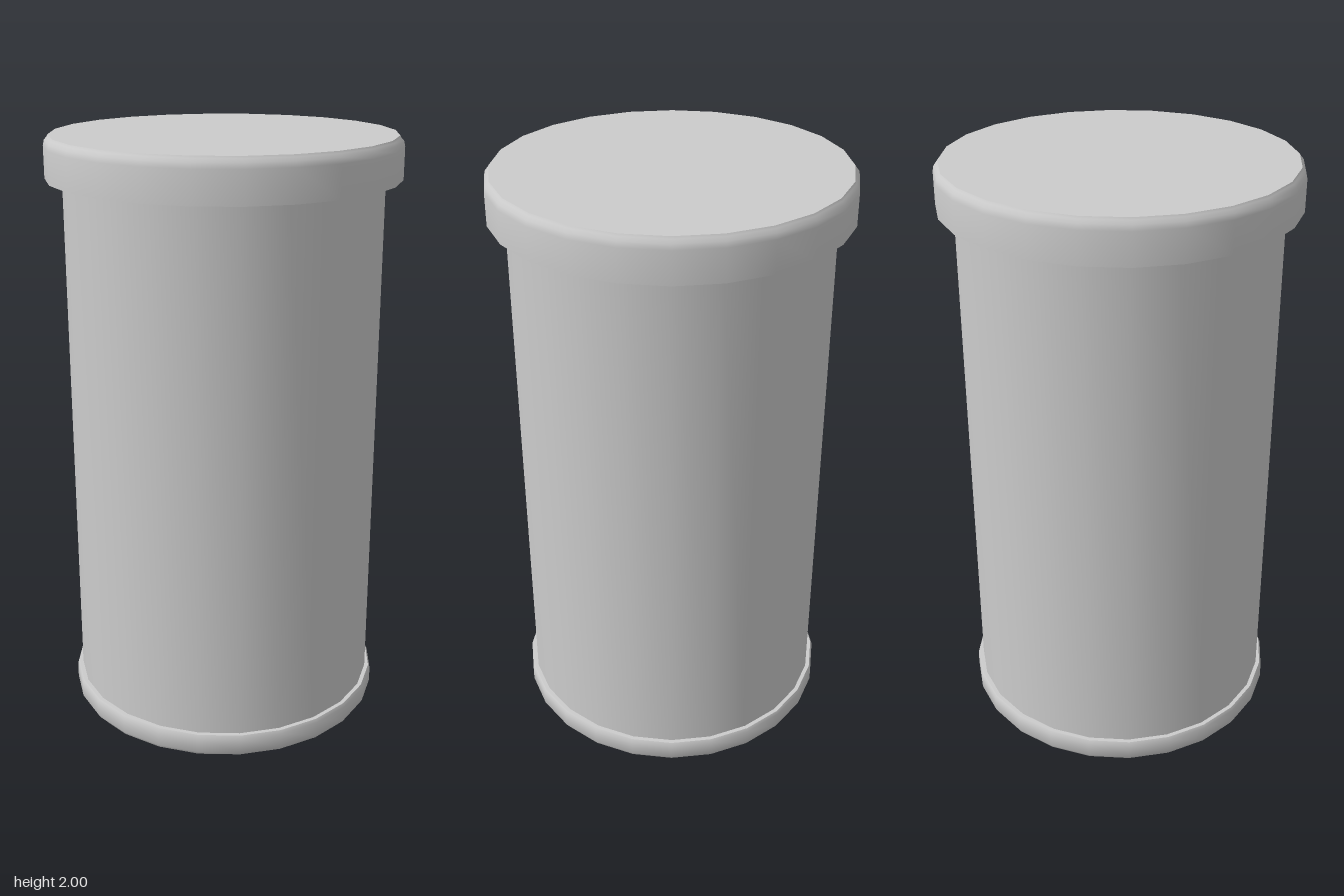
import * as THREE from 'three';
import { toCreasedNormals } from 'three/addons/utils/BufferGeometryUtils.js';

const SIDES = 24;

// Turned part from an outline of [radius, height] points, listed bottom to top
function turned(name, outline) {
  const points = outline.map(([r, y]) => new THREE.Vector2(r, y));
  const geometry = toCreasedNormals(new THREE.LatheGeometry(points, SIDES), Math.PI / 5);
  const mesh = new THREE.Mesh(geometry, new THREE.MeshStandardMaterial({ color: 0xcccccc }));
  mesh.name = name;
  return mesh;
}

export function createModel() {
  const group = new THREE.Group();
  group.name = 'canister';

  // Base rim with softened edges
  group.add(turned('baseRim', [
    [0, 0], [0.54, 0], [0.547, 0.012], [0.547, 0.064], [0.541, 0.075], [0.52, 0.075],
  ]));

  // Straight cylindrical wall
  group.add(turned('body', [[0.527, 0.07], [0.527, 1.93]]));

  // Overhanging cap: hollow skirt, rounded shoulder, flat top
  group.add(turned('lid', [
    [0, 1.92], [0.54, 1.92], [0.54, 1.86], [0.583, 1.86],
    [0.583, 1.965], [0.579, 1.983], [0.57, 1.993], [0.566, 2], [0, 2],
  ]));

  return group;
}
